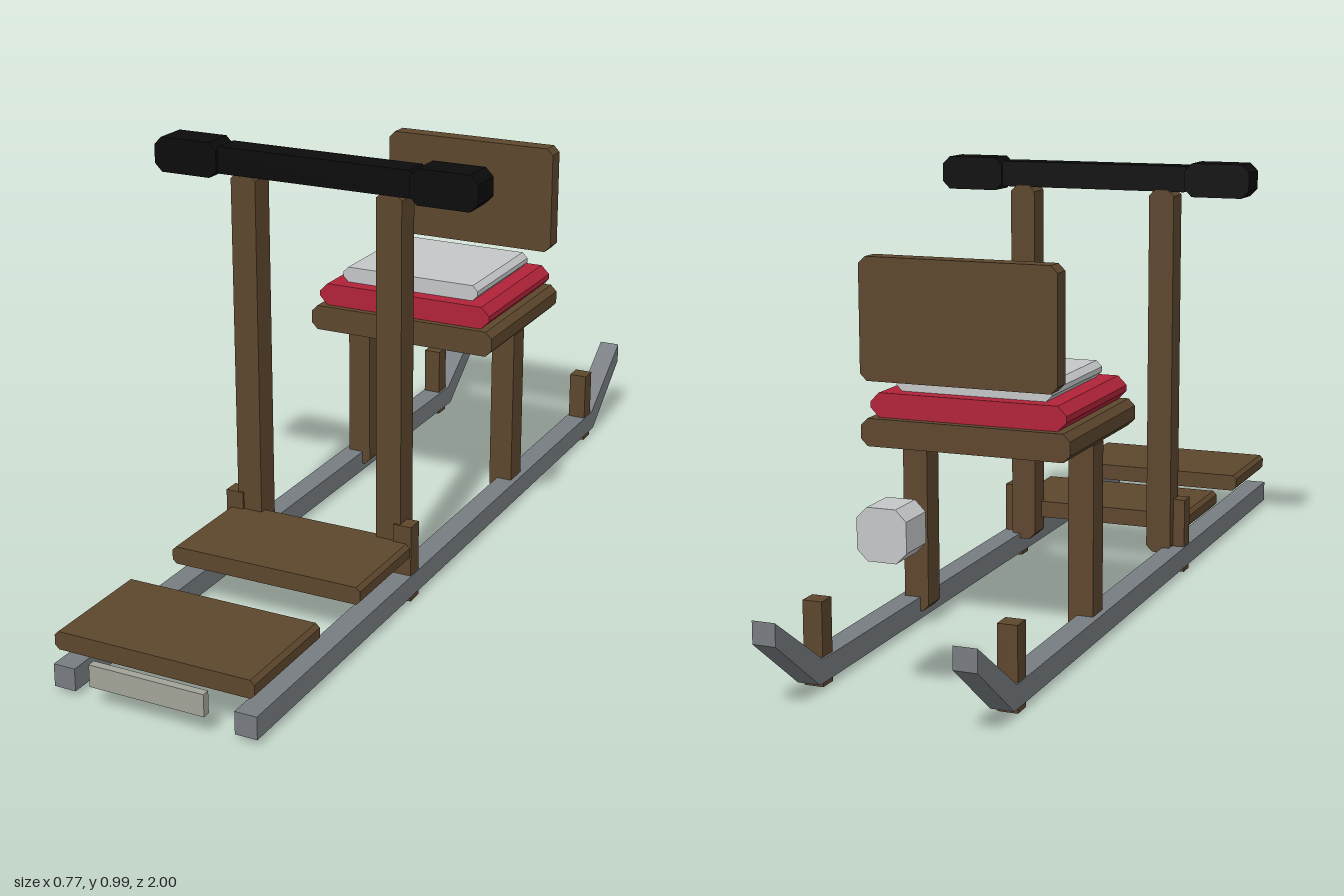
import * as THREE from 'three';

const flat = (name, color) => {
  const m = new THREE.MeshStandardMaterial({ color });
  m.name = name;
  return m;
};

export function createModel() {
  const wood = flat('brown wood', 0x5d462d);
  const black = flat('black rubber', 0x0b0b0b);
  const steel = flat('grey steel', 0x777c81);
  const red = flat('red cushion', 0xb12338);
  const pale = flat('pale grey', 0xc5c6c8);
  const plate = flat('warm grey', 0xa2a398);

  const model = new THREE.Group();
  model.name = 'kickSled';

  const add = (name, geometry, material) => {
    const mesh = new THREE.Mesh(geometry, material);
    mesh.name = name;
    model.add(mesh);
    return mesh;
  };

  // Block with its four front-profile corners cut by c, running from z0 to z1
  const block = (name, material, x0, x1, y0, y1, z0, z1, c = 0) => {
    const pts = c
      ? [[x0 + c, y0], [x1 - c, y0], [x1, y0 + c], [x1, y1 - c],
        [x1 - c, y1], [x0 + c, y1], [x0, y1 - c], [x0, y0 + c]]
      : [[x0, y0], [x1, y0], [x1, y1], [x0, y1]];
    const shape = new THREE.Shape(pts.map(([x, y]) => new THREE.Vector2(x, y)));
    const g = new THREE.ExtrudeGeometry(shape, { depth: z1 - z0, bevelEnabled: false });
    g.translate(0, 0, z0);
    return add(name, g, material);
  };

  // The same block on both sides
  const pair = (name, material, x0, x1, ...rest) => {
    block(name + 'Left', material, x0, x1, ...rest);
    block(name + 'Right', material, -x1, -x0, ...rest);
  };

  // Runners with an upturned end: side profile (u = -z) extruded across x
  const profile = new THREE.Shape([
    [-0.975, 0.012], [0.825, 0.012], [1, 0.145], [1, 0.193], [0.81, 0.062], [-0.975, 0.062],
  ].map(([u, y]) => new THREE.Vector2(u, y)));
  for (const [name, x] of [['runnerLeft', 0.185], ['runnerRight', -0.235]]) {
    const g = new THREE.ExtrudeGeometry(profile, { depth: 0.05, bevelEnabled: false });
    g.rotateY(Math.PI / 2);
    g.translate(x, 0, 0);
    add(name, g, steel);
  }

  // Uprights, seat legs and short runner pegs
  pair('handlePost', wood, 0.145, 0.205, 0.05, 0.925, 0.23, 0.29, 0.015);
  pair('seatLeg', wood, 0.165, 0.222, 0.03, 0.45, -0.352, -0.292, 0.014);
  pair('frontPeg', wood, 0.19, 0.233, 0, 0.178, 0.255, 0.295);
  pair('rearPeg', wood, 0.19, 0.233, 0, 0.178, -0.802, -0.76);

  // Handlebar and grips
  block('handlebar', black, -0.235, 0.235, 0.92, 0.98, 0.238, 0.3, 0.008);
  pair('grip', black, 0.23, 0.385, 0.91, 0.988, 0.232, 0.308, 0.018);

  // Footboards and front plate
  block('frontFootboard', wood, -0.23, 0.23, 0.097, 0.137, 0.71, 0.973, 0.009);
  block('rearFootboard', wood, -0.23, 0.23, 0.097, 0.137, 0.275, 0.533, 0.009);
  block('frontPlate', plate, -0.132, 0.132, 0.048, 0.097, 0.982, 1);

  // Seat, cushion, pad and backrest
  block('seat', wood, -0.235, 0.235, 0.437, 0.497, -0.526, -0.124, 0.015);
  block('cushion', red, -0.221, 0.221, 0.497, 0.55, -0.508, -0.14, 0.02);
  block('seatPad', pale, -0.176, 0.176, 0.55, 0.587, -0.475, -0.175, 0.013);
  block('backrest', wood, -0.22, 0.22, 0.583, 0.843, -0.556, -0.513, 0.015);

  // Small box behind the seat
  block('rearBox', pale, -0.052, 0.052, 0.308, 0.414, -0.912, -0.825, 0.022);

  return model;
}
